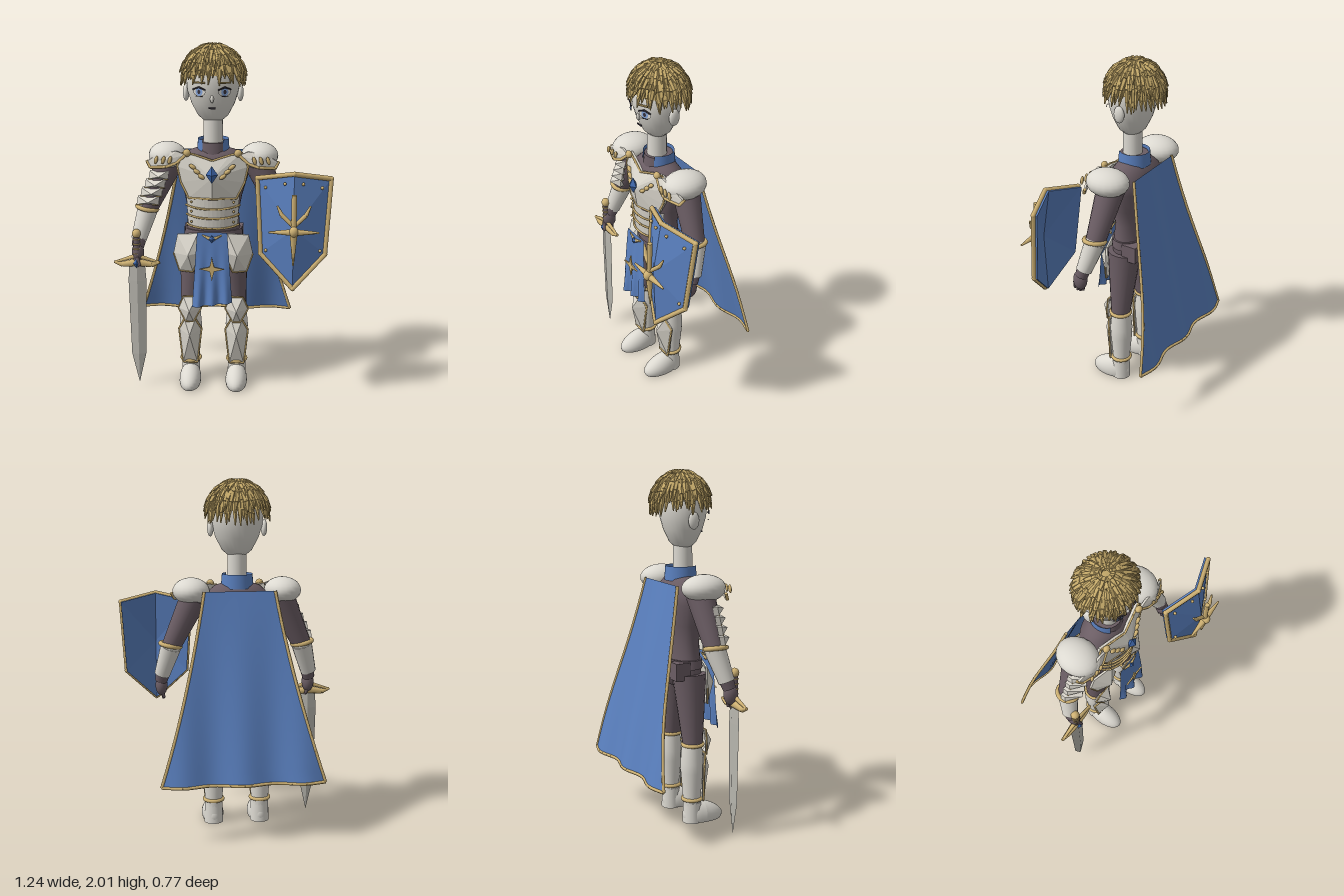
import * as THREE from 'three';
import { mergeGeometries } from 'three/addons/utils/BufferGeometryUtils.js';

const V = (x, y, z) => new THREE.Vector3(x, y, z);
const mat = (name, color, opts = {}) => {
  const m = new THREE.MeshStandardMaterial({ color, ...opts });
  m.name = name;
  return m;
};

export function createModel() {
  const ivory = mat('ivory', 0xdcd9d1);
  const plateMat = mat('armourPlate', 0xdad6cc, { flatShading: true, side: THREE.DoubleSide });
  const suit = mat('undersuit', 0x6b5d64);
  const blue = mat('blueCloth', 0x5a80bf, { side: THREE.DoubleSide });
  const gold = mat('gold', 0xcfb274);
  const hairMat = mat('hair', 0xc2a768, { flatShading: true });
  const steel = mat('blade', 0xbab8b0, { flatShading: true });
  const gemMat = mat('gem', 0x3f68ac, { flatShading: true });
  const dark = mat('darkLine', 0x37323c);
  const iris = mat('iris', 0x86a6da);

  const root = new THREE.Group();
  const body = new THREE.Group();
  body.name = 'knight';
  body.position.x = -0.0525;
  root.add(body);

  const add = (name, geo, m, parent = body) => {
    const mesh = new THREE.Mesh(geo, m);
    mesh.name = name;
    parent.add(mesh);
    return mesh;
  };
  // Tapered rod from a to b
  const rodGeo = (a, b, r0, r1 = r0, sides = 8) => {
    const d = b.clone().sub(a), g = new THREE.CylinderGeometry(r1, r0, d.length(), sides);
    g.applyQuaternion(new THREE.Quaternion().setFromUnitVectors(V(0, 1, 0), d.normalize()));
    return g.translate((a.x + b.x) / 2, (a.y + b.y) / 2, (a.z + b.z) / 2);
  };
  const rod = (name, a, b, r0, r1, m, parent, sides = 16) => add(name, rodGeo(a, b, r0, r1, sides), m, parent);
  // Trim following a polyline
  const trim = (name, pts, r, closed, parent) => {
    const geos = [];
    for (let i = 0; i < pts.length - (closed ? 0 : 1); i++) {
      geos.push(rodGeo(pts[i], pts[(i + 1) % pts.length], r, r, 6));
    }
    return add(name, mergeGeometries(geos), gold, parent);
  };
  const ball = (name, x, y, z, rx, ry, rz, m, parent) => {
    const b = add(name, new THREE.SphereGeometry(1, 20, 14).scale(rx, ry, rz), m, parent);
    b.position.set(x, y, z);
    return b;
  };
  const gem = (name, x, y, z, rx, ry, rz, parent) =>
    add(name, new THREE.OctahedronGeometry(1).scale(rx, ry, rz).translate(x, y, z), gemMat, parent);
  // Faceted plate: outline fanned around a raised apex, with thickness
  const plate = (name, outline, apex, th, m, parent) => {
    let o = outline, area = 0;
    o.forEach((p, i) => { const q = o[(i + 1) % o.length]; area += p.x * q.y - q.x * p.y; });
    if (area < 0) o = [...o].reverse();
    const back = p => V(p.x, p.y, p.z - th), pos = [];
    o.forEach((a, i) => {
      const b = o[(i + 1) % o.length], a2 = back(a), b2 = back(b);
      [apex, a, b, back(apex), b2, a2, a, a2, b2, a, b2, b].forEach(p => pos.push(p.x, p.y, p.z));
    });
    const g = new THREE.BufferGeometry();
    g.setAttribute('position', new THREE.Float32BufferAttribute(pos, 3));
    g.computeVertexNormals();
    return add(name, g, m, parent);
  };
  const lathe = (pts, zs) =>
    new THREE.LatheGeometry(pts.map(p => new THREE.Vector2(p[0], p[1])), 28).scale(1, 1, zs);
  const warp = (g, fn) => {
    const p = g.attributes.position;
    for (let i = 0; i < p.count; i++) p.setXYZ(i, ...fn(p.getX(i), p.getY(i), p.getZ(i)));
    g.computeVertexNormals();
    return g;
  };
  const ring = (name, x, y, z, r, tube, parent) => {
    const t = add(name, new THREE.TorusGeometry(r, tube, 8, 24).rotateX(Math.PI / 2), gold, parent);
    t.position.set(x, y, z);
    return t;
  };

  // Torso, belt, neck and collar
  add('torso', lathe([[0, 0.78], [0.13, 0.8], [0.165, 0.87], [0.155, 0.95], [0.145, 1.05], [0.165, 1.15], [0.2, 1.27],
    [0.195, 1.35], [0.13, 1.41], [0.07, 1.43]], 0.6), suit).position.z = -0.01;
  add('belt', new THREE.CylinderGeometry(0.165, 0.17, 0.05, 24).scale(1, 1, 0.62).translate(0, 0.93, -0.01), suit);
  add('neck', new THREE.CylinderGeometry(0.054, 0.056, 0.2, 20).translate(0, 1.5, 0), ivory);
  add('collar', new THREE.CylinderGeometry(0.08, 0.09, 0.09, 20).translate(0, 1.415, -0.01), suit);
  add('collarCloth', new THREE.CylinderGeometry(0.087, 0.093, 0.08, 24, 1, true, 0.7, Math.PI * 2 - 1.4)
    .translate(0, 1.437, -0.012), blue);

  // Head and face
  add('head', lathe([[0, 1.573], [0.045, 1.576], [0.085, 1.61], [0.122, 1.68], [0.144, 1.75], [0.15, 1.82],
    [0.138, 1.89], [0.1, 1.945], [0, 1.97]], 0.88), ivory);
  for (const s of [-1, 1]) {
    ball('ear', s * 0.152, 1.735, -0.01, 0.018, 0.048, 0.032, ivory);
    const eye = new THREE.Group();
    eye.name = 'eye';
    eye.position.set(s * 0.069, 1.755, 0.121);
    eye.rotation.y = s * 0.42;
    body.add(eye);
    const disc = (n, rx, ry, z, m) => add(n, new THREE.CircleGeometry(1, 20).scale(rx, ry, 1).translate(0, 0, z), m, eye);
    disc('eyeWhite', 0.038, 0.024, 0, ivory);
    disc('iris', 0.021, 0.023, 0.003, iris);
    disc('pupil', 0.009, 0.012, 0.005, dark);
    rod('upperLash', V(-0.038, 0.012, 0.004), V(0, 0.026, 0.006), 0.004, 0.005, dark, eye, 6);
    rod('upperLash', V(0, 0.026, 0.006), V(0.038, 0.012, 0.004), 0.005, 0.004, dark, eye, 6);
    rod('lowerLash', V(-0.02, -0.024, 0.003), V(0.02, -0.024, 0.003), 0.002, 0.002, dark, eye, 6);
    rod('eyebrow', V(-0.035, 0.05, 0.004), V(0.035, 0.05, 0.004), 0.006, 0.005, hairMat, eye, 6);
  }
  ball('nose', 0, 1.715, 0.118, 0.01, 0.022, 0.014, ivory);
  add('mouth', new THREE.BoxGeometry(0.04, 0.008, 0.006).translate(0, 1.663, 0.112), dark);

  // Hair: a cap under layered tapering locks
  let seed = 7;
  const rnd = () => (seed = (seed * 16807) % 2147483647) / 2147483647;
  add('hairCap', new THREE.SphereGeometry(1, 24, 10, 0, Math.PI * 2, 0, 1.45).scale(0.158, 0.155, 0.145)
    .translate(0, 1.825, -0.012), hairMat);
  const locks = [];
  for (const [count, t0, t1, grow] of [[26, 0.2, 0.95, 0.012], [44, 0.45, 1.45, 0.01], [52, 0.8, 1.85, 0.004], [14, 0.12, 0.4, 0.02]]) {
    for (let i = 0; i < count; i++) {
      const a = ((i + rnd() * 0.6) / count) * Math.PI * 2, front = Math.max(0, Math.cos(a));
      const end = t1 + (rnd() - 0.5) * 0.3 - (t1 > 1.4 ? front * 0.22 : 0), twist = (rnd() - 0.5) * 0.2;
      const pts = [0, 0.35, 0.7, 1].map(k => {
        const t = t0 + (end - t0) * k, e = grow + 0.022 * k * k, b = a + twist * k;
        const drop = t > 1.5 ? 1.5 : t;
        const r = Math.sin(drop) * (0.158 + e);
        return V(Math.sin(b) * r, 1.825 + Math.cos(t) * (0.15 + Math.min(e, 0.022)), Math.cos(b) * r * 0.93 - 0.014);
      });
      [[0.012, 0.015], [0.015, 0.012], [0.012, 0.003]].forEach(([r0, r1], j) => locks.push(rodGeo(pts[j], pts[j + 1], r0, r1, 5)));
    }
  }
  add('hairLocks', mergeGeometries(locks), hairMat);

  // Breastplate with trim and ornaments
  const half = [[0.1, 1.4, 0.09], [0.165, 1.41, 0.075], [0.2, 1.33, 0.075], [0.18, 1.24, 0.08], [0.135, 1.15, 0.09]];
  const chest = [V(0, 1.37, 0.11), ...half.map(p => V(...p)), V(0, 1.155, 0.135),
    ...[...half].reverse().map(([x, y, z]) => V(-x, y, z))];
  plate('breastplate', chest, V(0, 1.28, 0.155), 0.02, plateMat);
  trim('breastplateTrim', chest, 0.006, true);
  gem('chestGem', 0, 1.3, 0.16, 0.034, 0.05, 0.025);

  // Abdomen lames, sagging at the middle
  [1.13, 1.075, 1.015].forEach((y, i) => {
    const r = 0.168 - i * 0.003;
    const lame = new THREE.CylinderGeometry(r, r - 0.008, 0.056, 16, 1, true, -1.15, 2.3);
    add('abdomenLame', warp(lame, (x, yy, z) => [x, y + yy - 0.1 * (z - 0.07), z * 0.78]), plateMat);
    const arc = [];
    for (let k = 0; k <= 12; k++) {
      const a = -1.15 + (k / 12) * 2.3, z = Math.cos(a) * r;
      arc.push(V(Math.sin(a) * r, y - 0.026 - 0.1 * (z - 0.07), z * 0.78));
    }
    trim('lameTrim', arc, 0.006, false);
    for (const s of [-1, 1]) ball('lameRivet', s * 0.12, y, 0.1, 0.007, 0.007, 0.007, gold);
  });

  // Mirrored limbs and armour
  for (const s of [-1, 1]) {
    const P = (x, y, z) => V(s * x, y, z);
    const side = new THREE.Group();
    side.name = s > 0 ? 'leftSide' : 'rightSide';
    body.add(side);
    const orb = (n, x, y, z, a, b, c, m) => ball(n, s * x, y, z, a, b, c, m, side);

    // Arm
    rod('upperArm', P(0.25, 1.34, -0.02), P(0.375, 1.07, 0), 0.08, 0.056, suit, side);
    ring('elbowBand', s * 0.382, 1.07, 0.003, 0.058, 0.013, side).rotation.z = s * 0.2;
    orb('elbow', 0.38, 1.06, 0, 0.058, 0.05, 0.058, ivory);
    rod('forearm', P(0.38, 1.06, 0), P(0.43, 0.89, 0.045), 0.06, 0.045, ivory, side);
    rod('cuff', P(0.42, 0.92, 0.04), P(0.435, 0.85, 0.06), 0.044, 0.036, suit, side);
    orb('hand', 0.433, 0.82, 0.07, 0.035, 0.06, 0.042, suit);
    for (let f = 0; f < 4; f++) {
      const z = 0.05 + f * 0.018;
      rod('finger', P(0.435, 0.8, z), P(0.42, 0.735 + Math.abs(f - 1.5) * 0.01, z + 0.012), 0.012, 0.009, suit, side, 8);
    }

    // Pauldron with front guard, leaves and clasp
    orb('pauldron', 0.262, 1.38, -0.007, 0.106, 0.075, 0.126, ivory);
    const guard = [P(0.15, 1.4, 0.1), P(0.2, 1.42, 0.1), P(0.3, 1.405, 0.1), P(0.365, 1.36, 0.08),
      P(0.35, 1.325, 0.09), P(0.26, 1.335, 0.125), P(0.2, 1.355, 0.115)];
    plate('pauldronGuard', guard, P(0.26, 1.375, 0.125), 0.012, plateMat, side);
    trim('pauldronTrim', [P(0.37, 1.36, 0.07), ...guard.slice(4), guard[0]], 0.009, false, side);
    [0.235, 0.272, 0.312].forEach(x => orb('pauldronLeaf', x, 1.375, 0.128, 0.011, 0.024, 0.009, gold).rotation.z = s * 0.3);
    orb('clasp', 0.143, 1.41, 0.095, 0.022, 0.022, 0.018, gold);
    [[0.06, 1.285], [0.085, 1.31], [0.11, 1.335]].forEach(([x, y]) =>
      orb('chestLeaf', x, y, 0.138 - (x - 0.06) * 0.5, 0.022, 0.012, 0.012, gold).rotation.z = s * 0.6);

    // Leg
    rod('thigh', P(0.1, 0.87, -0.01), P(0.135, 0.47, -0.005), 0.098, 0.058, suit, side);
    ring('kneeBand', s * 0.137, 0.465, -0.005, 0.058, 0.011, side);
    add('shin', lathe([[0.05, 0.1], [0.052, 0.16], [0.064, 0.3], [0.066, 0.36], [0.056, 0.47]], 1), ivory, side)
      .position.set(s * 0.137, 0, -0.01);
    ring('ankleBand', s * 0.137, 0.14, -0.008, 0.054, 0.011, side);
    add('foot', warp(new THREE.SphereGeometry(1, 24, 16), (x, y, z) =>
      [x * 0.064, (Math.max(y, -0.4) + 0.4) * (0.082 - 0.02 * z), z * 0.125 + 0.06]), ivory, side).position.x = s * 0.137;
    rod('heel', P(0.137, 0, -0.008), P(0.137, 0.12, -0.008), 0.056, 0.052, ivory, side);

    // Leg plates
    const cuisse = [P(0.085, 0.94, 0.085), P(0.205, 0.925, 0.05), P(0.23, 0.81, 0.04), P(0.195, 0.71, 0.06),
      P(0.115, 0.71, 0.085), P(0.065, 0.83, 0.095)];
    plate('thighPlate', cuisse, P(0.14, 0.82, 0.125), 0.012, plateMat, side);
    trim('thighPlateTrim', cuisse.slice(2, 6), 0.005, false, side);
    const knee = [P(0.095, 0.55, 0.06), P(0.175, 0.55, 0.06), P(0.205, 0.475, 0.05), P(0.16, 0.4, 0.075),
      P(0.115, 0.4, 0.075), P(0.07, 0.475, 0.05)];
    plate('kneePlate', knee, P(0.137, 0.475, 0.115), 0.012, plateMat, side);
    trim('kneePlateTrim', knee, 0.005, true, side);
    const greave = [P(0.105, 0.41, 0.06), P(0.17, 0.41, 0.06), P(0.204, 0.34, 0.035), P(0.18, 0.13, 0.045),
      P(0.095, 0.13, 0.045), P(0.07, 0.34, 0.035)];
    plate('greave', greave, P(0.137, 0.32, 0.1), 0.012, plateMat, side);
    trim('greaveTrim', greave, 0.006, true, side);
    add('beltPouch', new THREE.BoxGeometry(0.08, 0.1, 0.09).translate(s * 0.13, 0.9, -0.08), suit, side);
  }

  // Right upper-arm lames
  for (let i = 0; i < 4; i++) {
    const x = -0.305 - i * 0.021, y = 1.27 - i * 0.05, w = 0.055 + i * 0.003;
    const o = [V(x + w, y + 0.03, 0.055), V(x - w, y + 0.02, 0.025), V(x - w - 0.008, y - 0.025, 0.03), V(x + w - 0.005, y - 0.02, 0.06)];
    plate('armLame', o, V(x, y, 0.095), 0.03, plateMat);
    trim('armLameTrim', [o[2], o[3]], 0.004, false);
  }

  // Tabard with star and buckle
  add('tabard', warp(new THREE.PlaneGeometry(2, 1, 24, 10), (u, v) => {
    const t = 0.5 - v;
    return [u * (0.085 + 0.03 * t), 0.965 - t * (0.425 - u * 0.015), 0.148 + 0.03 * t + 0.014 * t * t * Math.cos(u * 9)];
  }), blue);
  const star = new THREE.Shape();
  for (let i = 0; i < 8; i++) {
    const r = i % 2 ? 0.018 : 0.07, a = (i * Math.PI) / 4;
    star[i ? 'lineTo' : 'moveTo'](Math.cos(a) * r, Math.sin(a) * r);
  }
  add('tabardStar', new THREE.ExtrudeGeometry(star, { depth: 0.008, bevelEnabled: false }).translate(0, 0.76, 0.182), gold);
  gem('buckleGem', 0, 0.93, 0.162, 0.02, 0.022, 0.014);
  for (const s of [-1, 1]) rod('buckleWing', V(0, 0.925, 0.155), V(s * 0.055, 0.95, 0.15), 0.012, 0.004, gold, body, 6);

  // Cape with folds and hem
  const capePoint = (u, t) => {
    const x = u * (0.2 + 0.18 * t + 0.08 * t * t);
    return V(x, 1.39 - 1.055 * t, -0.135 - 0.225 * t - 0.017 * t * Math.cos(x * 18.5));
  };
  add('cape', warp(new THREE.PlaneGeometry(2, 1, 36, 16), (u, v) => capePoint(u, 0.5 - v).toArray()), blue);
  const hem = [];
  for (let i = 0; i <= 12; i++) hem.push(capePoint(-1, i / 12));
  for (let i = 1; i <= 24; i++) hem.push(capePoint(-1 + i / 12, 1));
  for (let i = 11; i >= 0; i--) hem.push(capePoint(1, i / 12));
  trim('capeHem', hem, 0.009, false);

  // Sword
  const sword = new THREE.Group();
  sword.name = 'sword';
  sword.position.set(-0.437, 0, 0.09);
  body.add(sword);
  add('blade', mergeGeometries([
    new THREE.CylinderGeometry(0.046, 0.052, 0.09, 4).translate(0, 0.7, 0),
    new THREE.CylinderGeometry(0.052, 0.042, 0.455, 4).translate(0, 0.4275, 0),
    new THREE.CylinderGeometry(0.042, 0, 0.185, 4).translate(0, 0.1075, 0)]).scale(1, 1, 0.3), steel, sword);
  rod('grip', V(0, 0.78, 0), V(0, 0.93, 0), 0.02, 0.018, suit, sword);
  for (let i = 0; i < 4; i++) ring('gripWrap', 0, 0.82 + i * 0.028, 0, 0.019, 0.004, sword);
  ball('pommel', 0, 0.937, 0, 0.025, 0.027, 0.025, gold, sword);
  for (const s of [-1, 1]) {
    rod('crossguard', V(0, 0.765, 0), V(s * 0.085, 0.752, 0), 0.024, 0.016, gold, sword, 8);
    rod('crossguardTip', V(s * 0.085, 0.752, 0), V(s * 0.132, 0.768, 0), 0.016, 0.008, gold, sword, 8);
    rod('crossguardBrace', V(0, 0.805, 0), V(s * 0.12, 0.768, 0), 0.014, 0.007, gold, sword, 8);
  }
  gem('guardGem', 0, 0.765, 0.024, 0.02, 0.028, 0.016, sword);

  // Shield, folded about its middle
  const shield = new THREE.Group();
  shield.name = 'shield';
  root.add(shield);
  const rim = [V(0.4, 1.335, 0.275), V(0.2, 1.295, 0.2), V(0.222, 0.875, 0.24), V(0.4, 0.695, 0.31),
    V(0.578, 0.875, 0.24), V(0.605, 1.295, 0.2)];
  plate('shieldBoard', rim, V(0.4, 1.04, 0.325), 0.025, mat('blueBoard', 0x5a80bf, { flatShading: true }), shield);
  trim('shieldRim', rim, 0.014, true, shield);
  rim.forEach(p => ball('rimJoint', p.x, p.y, p.z, 0.014, 0.014, 0.014, gold, shield));
  for (const s of [-1, 1]) {
    for (const [x, y, z] of [[0.155, 1.25, 0.235], [0.15, 0.9, 0.26], [0.05, 1.28, 0.275]]) {
      ball('shieldRivet', 0.4 + s * x, y, z, 0.009, 0.009, 0.009, gold, shield);
    }
    rod('emblemBar', V(0.4, 1.03, 0.352), V(0.4 + s * 0.137, 1.03, 0.352), 0.02, 0.005, gold, shield, 8);
    rod('emblemBranch', V(0.4, 1.06, 0.345), V(0.4 + s * 0.065, 1.12, 0.33), 0.011, 0.012, gold, shield, 8);
    rod('emblemBranchTip', V(0.4 + s * 0.065, 1.12, 0.33), V(0.4 + s * 0.09, 1.17, 0.32), 0.012, 0.005, gold, shield, 8);
  }
  rod('emblemTop', V(0.4, 1.03, 0.35), V(0.4, 1.235, 0.345), 0.015, 0.014, gold, shield, 8);
  rod('emblemBottom', V(0.4, 1.03, 0.35), V(0.4, 0.84, 0.345), 0.022, 0.004, gold, shield, 8);
  ball('emblemBoss', 0.4, 1.035, 0.358, 0.025, 0.03, 0.026, gold, shield);

  return root;
}
